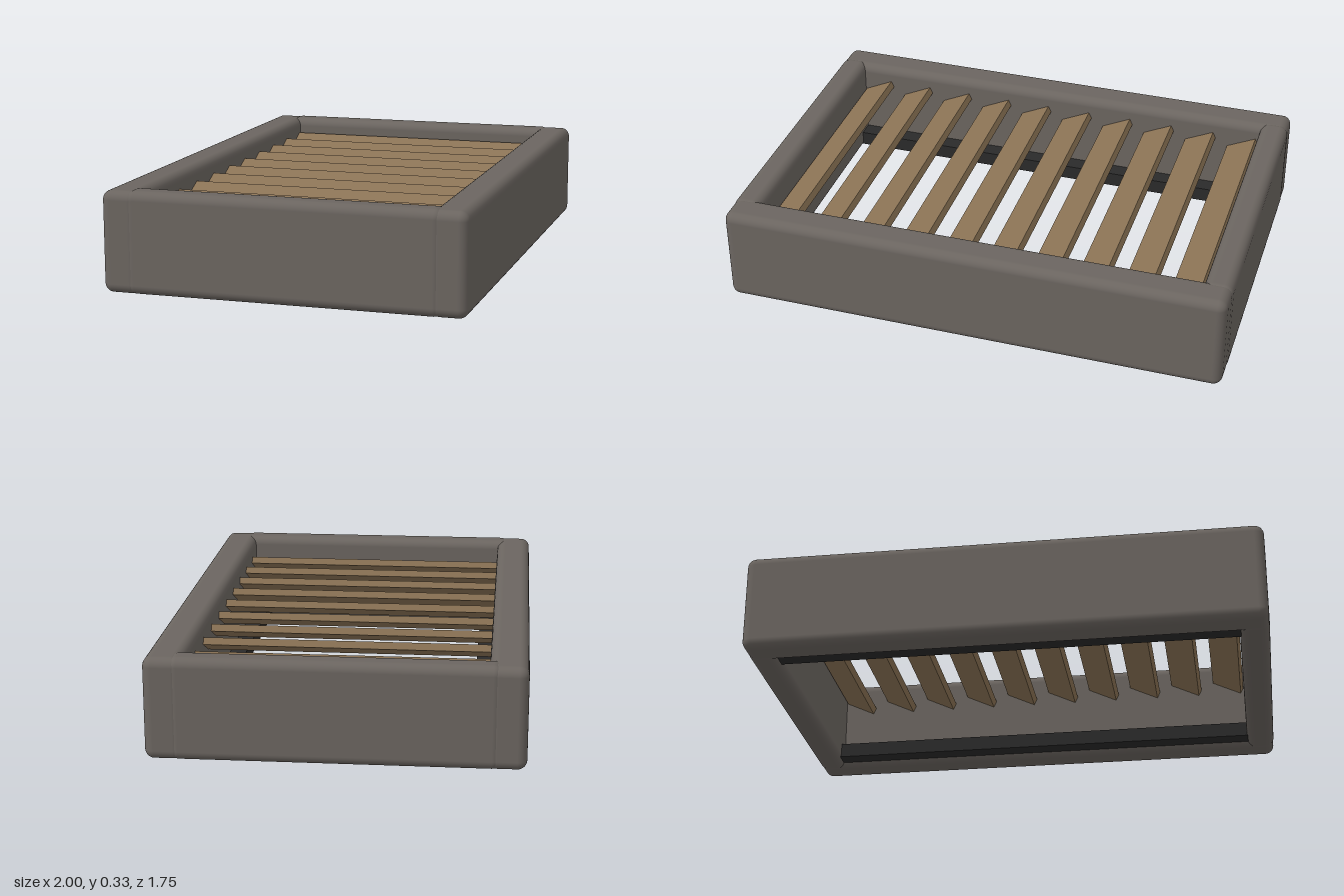
import * as THREE from 'three';
import { RoundedBoxGeometry } from 'three/addons/geometries/RoundedBoxGeometry.js';

export function createModel() {
  const model = new THREE.Group();
  model.name = 'slattedCrate';

  const paint = (name, color) => {
    const m = new THREE.MeshStandardMaterial({ color });
    m.name = name;
    return m;
  };
  const stone = paint('stoneGrey', 0x6b6560);
  const wood = paint('woodBrown', 0x8b7355);
  const iron = paint('darkIron', 0x2a2a2a);

  const H = 0.327; // frame height
  const add = (name, geometry, material, x, y, z) => {
    const mesh = new THREE.Mesh(geometry, material);
    mesh.name = name;
    mesh.position.set(x, y, z);
    model.add(mesh);
    return mesh;
  };

  // Rounded frame: long rails front and back, short rails let in between them
  const longRail = new RoundedBoxGeometry(1.68, H, 0.12, 4, 0.03);
  const shortRail = new RoundedBoxGeometry(0.095, H + 0.002, 1.02, 4, 0.03);
  const ledge = new THREE.BoxGeometry(1.52, 0.05, 0.06);
  for (const s of [1, -1]) {
    add(s > 0 ? 'frontRail' : 'backRail', longRail, stone, 0, H / 2, s * 0.527);
    add(s > 0 ? 'leftRail' : 'rightRail', shortRail, stone, s * 0.794, H / 2 + 0.001, 0);
    // Dark ledge low on the inner side of each long rail
    add(s > 0 ? 'frontLedge' : 'backLedge', ledge, iron, 0, 0.04, s * 0.44);
  }

  // Ten tilted slats
  const slat = new THREE.BoxGeometry(0.11, 0.024, 0.95);
  for (let i = 0; i < 10; i++) {
    const mesh = add('slat' + (i + 1), slat, wood, (i - 4.5) * 0.153, 0.24, 0);
    mesh.rotation.z = THREE.MathUtils.degToRad(25);
  }

  // The whole frame stands turned
  model.rotation.y = THREE.MathUtils.degToRad(25);
  const root = new THREE.Group();
  root.name = 'model';
  root.add(model);
  return root;
}
